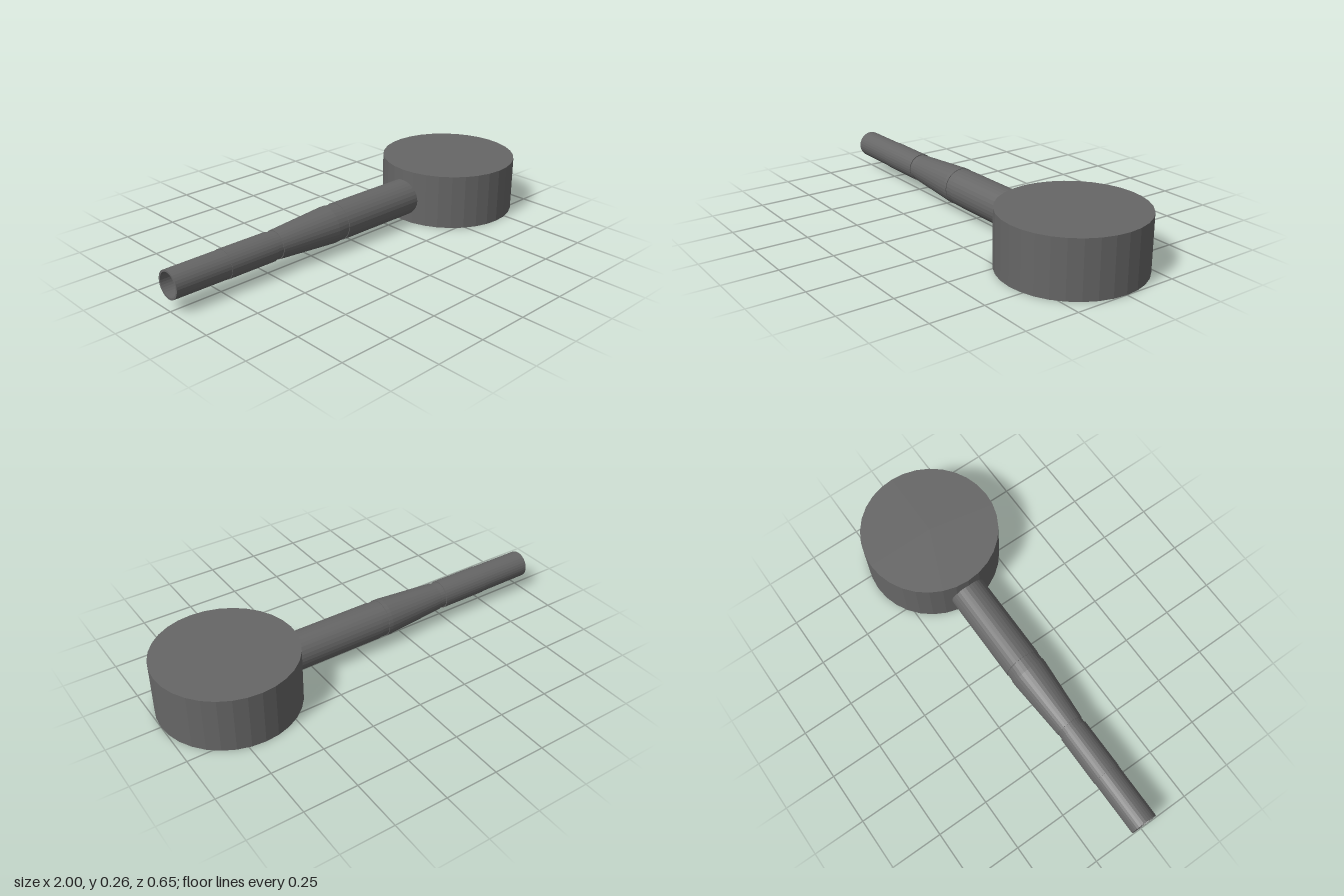
import * as THREE from 'three';

export function createModel() {
  const model = new THREE.Group();
  const darkGrey = new THREE.MeshStandardMaterial({ color: 0x666666, flatShading: true });
  darkGrey.name = 'darkGrey';

  const add = (name, geometry, x, y, z) => {
    const mesh = new THREE.Mesh(geometry, darkGrey);
    mesh.name = name;
    mesh.position.set(x, y, z);
    model.add(mesh);
  };

  // Lathe turned to lie along x; profile pairs are [x, radius]
  const turned = (profile) => new THREE.LatheGeometry(
    profile.map(([x, r]) => new THREE.Vector2(r, x)), 32).rotateZ(-Math.PI / 2);

  // Round drum head
  add('drum', new THREE.CylinderGeometry(0.327, 0.327, 0.263, 32), 0.673, 0.1315, 0);

  // Hollow handle: bore first, then the rim and the outside
  const axisY = 0.121;
  add('handleTube', turned([
    [-0.47, 0.056], [-1, 0.056], [-1, 0.065], [-0.73, 0.066],
    [-0.73, 0.068], [-0.485, 0.068], [-0.485, 0.064], [-0.455, 0.064],
  ]), 0, axisY, -0.002);

  // Tapered section between the two grooves
  add('taperedSleeve', turned([
    [-0.47, 0], [-0.455, 0.064], [-0.455, 0.067], [-0.15, 0.089],
    [-0.13, 0.089], [-0.13, 0.086], [-0.09, 0.086],
  ]), 0, axisY, -0.002);

  // Thick neck running into the drum
  add('neck', turned([
    [-0.09, 0.08], [-0.09, 0.0885], [0.42, 0.0885], [0.42, 0],
  ]), 0, axisY, -0.002);

  return model;
}
